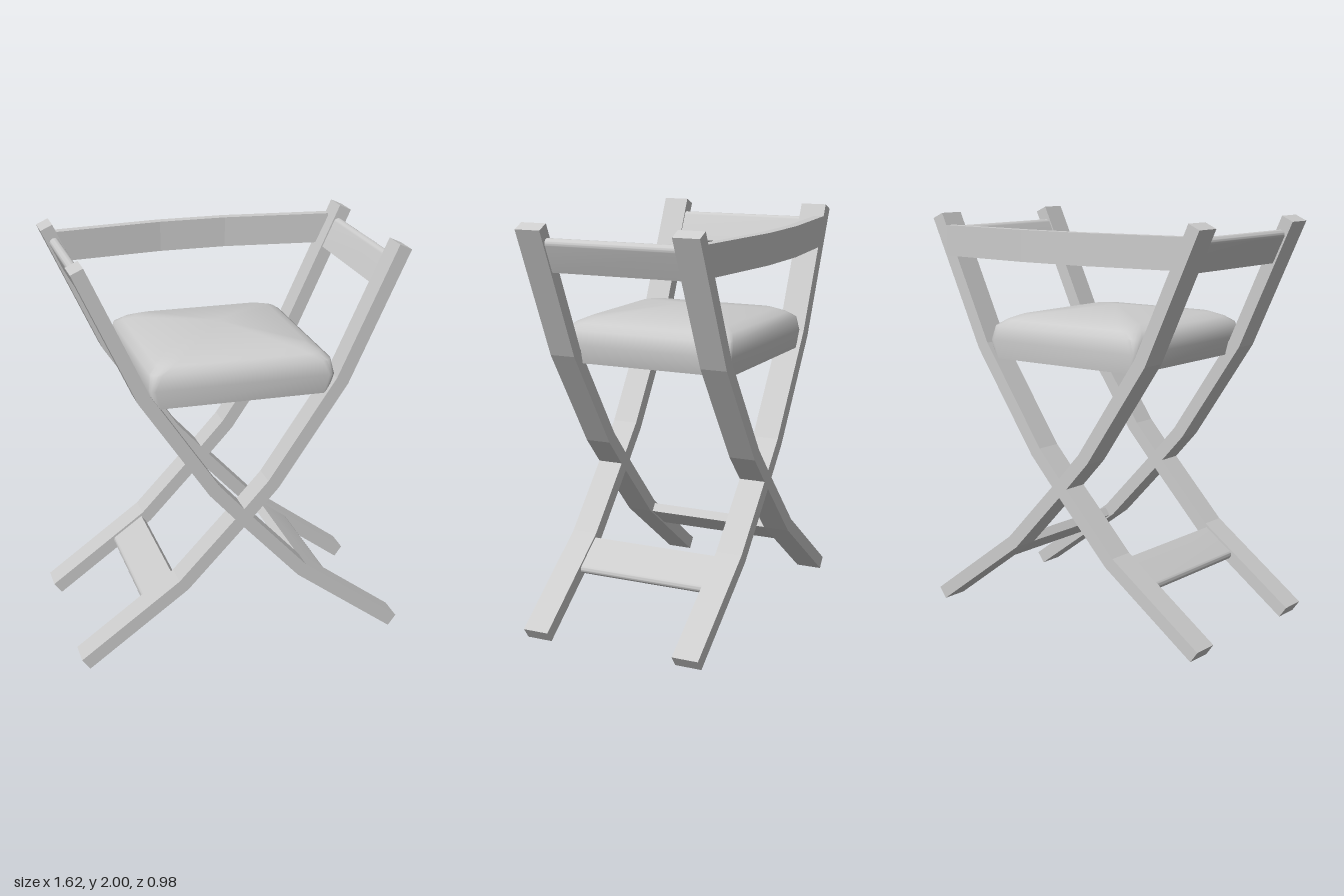
import * as THREE from 'three';
import { toCreasedNormals, mergeVertices } from 'three/addons/utils/BufferGeometryUtils.js';

const material = new THREE.MeshStandardMaterial({ color: 0xcccccc });
const V = (x, y) => new THREE.Vector2(x, y);

function add(parent, name, geometry) {
  const mesh = new THREE.Mesh(geometry, material);
  mesh.name = name;
  parent.add(mesh);
  return mesh;
}

// Outline of a bent strip of constant width, with mitred joints
function stripShape(path, width) {
  const left = [], right = [];
  path.forEach((p, i) => {
    const a = path[Math.max(i - 1, 0)], b = path[Math.min(i + 1, path.length - 1)];
    const d0 = (i > 0 ? p.clone().sub(a) : b.clone().sub(p)).normalize();
    const d1 = (i < path.length - 1 ? b.clone().sub(p) : d0.clone()).normalize();
    const n0 = V(-d0.y, d0.x), n1 = V(-d1.y, d1.x);
    const mitre = n0.clone().add(n1).normalize();
    mitre.multiplyScalar(width / 2 / mitre.dot(n1));
    left.push(p.clone().add(mitre));
    right.unshift(p.clone().sub(mitre));
  });
  return new THREE.Shape([...left, ...right]);
}

// Board with one rounded edge, seen end on, running from a to b
function roundedBoard(a, b, width, z0, z1) {
  const length = a.distanceTo(b), r = width / 2;
  const shape = new THREE.Shape();
  shape.moveTo(0, -r);
  shape.lineTo(length - r, -r);
  shape.absarc(length - r, 0, r, -Math.PI / 2, Math.PI / 2, false);
  shape.lineTo(0, r);
  const geometry = new THREE.ExtrudeGeometry(shape, { depth: z1 - z0, bevelEnabled: false, curveSegments: 8 });
  geometry.rotateZ(Math.atan2(b.y - a.y, b.x - a.x)).translate(a.x, a.y, z0);
  return toCreasedNormals(geometry, 0.6);
}

// Cushion lofted through rounded rectangles: [y, halfX, halfZ, corner radius]
function cushionGeometry(rings, apexY, centreZ) {
  const pos = [], index = [], steps = 4, n = 4 * (steps + 1);
  for (const [y, hx, hz, r] of rings) {
    for (let c = 0; c < 4; c++) {
      const sx = c === 0 || c === 3 ? 1 : -1, sz = c < 2 ? 1 : -1;
      for (let s = 0; s <= steps; s++) {
        const t = (c + s / steps) * Math.PI / 2;
        pos.push(sx * (hx - r) + r * Math.cos(t), y, centreZ + sz * (hz - r) + r * Math.sin(t));
      }
    }
  }
  const bottom = pos.length / 3, top = bottom + 1, last = (rings.length - 1) * n;
  pos.push(0, rings[0][0], centreZ, 0, apexY, centreZ);
  for (let i = 0; i < n; i++) {
    const j = (i + 1) % n;
    for (let k = 0; k < last; k += n) index.push(k + i, k + n + i, k + j, k + j, k + n + i, k + n + j);
    index.push(bottom, i, j, top, last + j, last + i);
  }
  const geometry = new THREE.BufferGeometry();
  geometry.setAttribute('position', new THREE.Float32BufferAttribute(pos, 3));
  geometry.setIndex(index);
  return toCreasedNormals(mergeVertices(geometry), 0.9);
}

export function createModel() {
  const chair = new THREE.Group();
  chair.name = 'foldingChair';

  // Crossed legs that sweep up into the arms
  const legPath = [V(0.79, 0.028), V(0.3, 0.387), V(0, 0.707), V(-0.145, 0.867), V(-0.477, 1.36), V(-0.765, 1.985)];
  for (const side of [1, -1]) {
    const label = side > 0 ? 'Left' : 'Right';
    const path = legPath.map(p => V(p.x * side, p.y));
    for (const [end, z0, z1] of [['front', 0.36, 0.49], ['back', -0.435, -0.302]]) {
      const geometry = new THREE.ExtrudeGeometry(stripShape(path, 0.065), { depth: z1 - z0, bevelEnabled: false });
      add(chair, `${end}Leg${label}Foot`, geometry.translate(0, 0, z0));
    }

    // Boards joining the front and back legs
    add(chair, `armRail${label}`,
      roundedBoard(V(0.668 * side, 1.78), V(0.738 * side, 1.93), 0.048, -0.31, 0.37));
    add(chair, `footRail${label}`,
      roundedBoard(V(0.315 * side, 0.374), V(0.475 * side, 0.258), 0.046, -0.31, 0.37));
  }

  // Angled back board
  const backPath = [V(-0.705, 0.41), V(-0.17, 0.469), V(0.17, 0.469), V(0.705, 0.41)];
  const back = new THREE.ExtrudeGeometry(stripShape(backPath, 0.05), { depth: 0.15, bevelEnabled: false });
  add(chair, 'backrest', back.rotateX(-Math.PI / 2).translate(0, 1.79, 0));

  // Padded seat rising to a soft peak
  add(chair, 'seatCushion', cushionGeometry([
    [1.3, 0.425, 0.44, 0.03],
    [1.39, 0.448, 0.448, 0.03],
    [1.46, 0.437, 0.44, 0.05],
    [1.49, 0.4, 0.41, 0.07],
    [1.513, 0.35, 0.36, 0.08],
  ], 1.557, 0.026));

  return chair;
}
